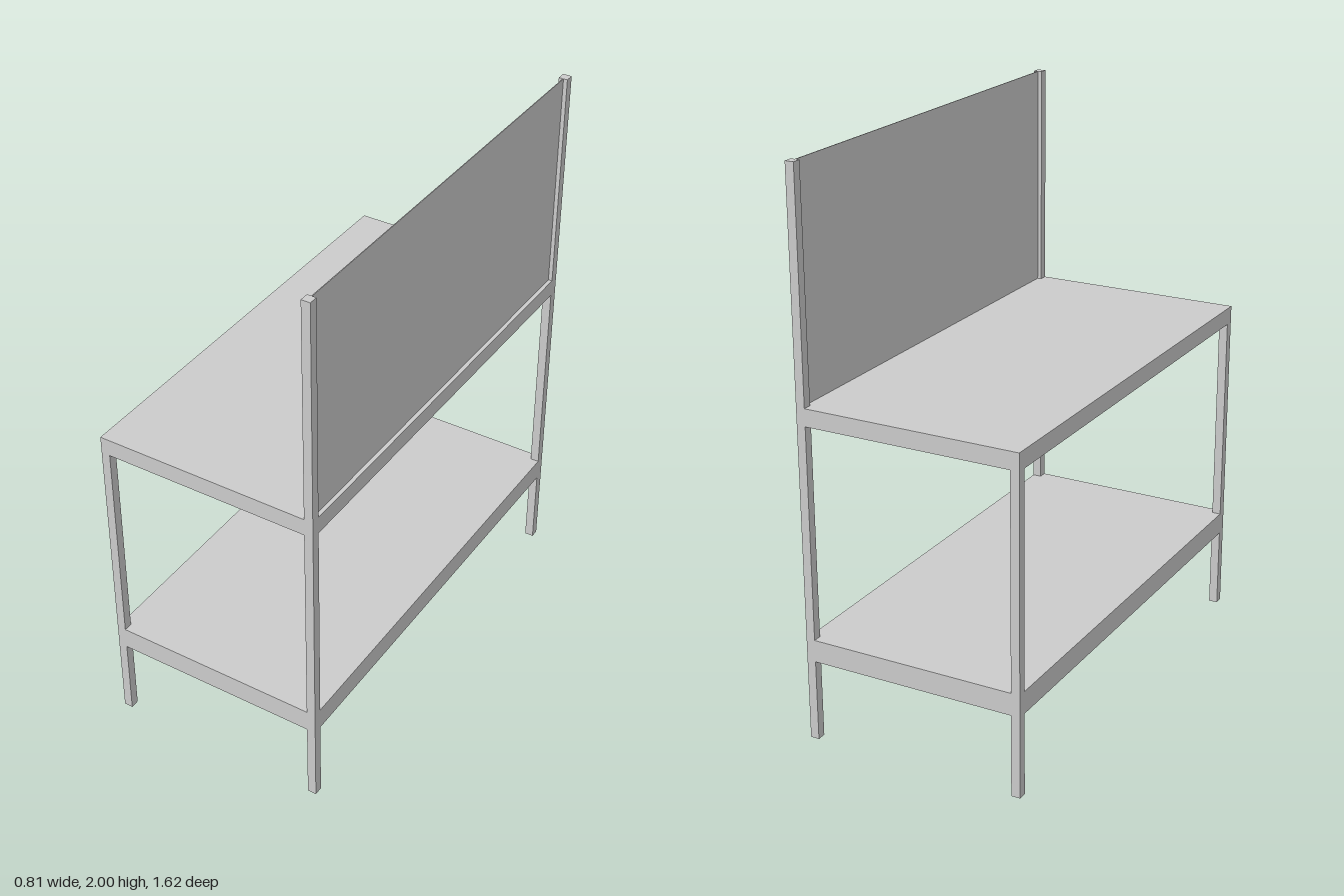
import * as THREE from 'three';

const W = 0.81, D = 1.625, POST = 0.032;
const TOP_Y = 1.2, HEIGHT = 2;

export function createModel() {
  const group = new THREE.Group();
  const material = new THREE.MeshStandardMaterial({ color: 0xcccccc });

  // box spanning y0..y1, centred on x, z
  const addBox = (name, w, d, y0, y1, x = 0, z = 0) => {
    const mesh = new THREE.Mesh(new THREE.BoxGeometry(w, y1 - y0, d), material);
    mesh.name = name;
    mesh.position.set(x, (y0 + y1) / 2, z);
    group.add(mesh);
  };

  const px = (W - POST) / 2, pz = (D - POST) / 2;

  // worktop and lower shelf, flush with the outside of the posts
  addBox('worktop', W, D, 1.138, TOP_Y);
  addBox('lowerShelf', W, D, 0.295, 0.375);

  // leg sections below and between the slabs; tall uprights carry on above the worktop
  for (const sx of [-1, 1]) {
    for (const sz of [-1, 1]) {
      addBox('foot', POST, POST, 0, 0.295, sx * px, sz * pz);
      addBox('leg', POST, POST, 0.375, 1.138, sx * px, sz * pz);
      if (sx > 0) addBox('upright', POST, POST, TOP_Y, HEIGHT, px, sz * pz);
    }
  }

  // thin panel centred between the uprights
  addBox('backPanel', 0.003, D - 2 * POST, TOP_Y, HEIGHT, px, 0);

  return group;
}
